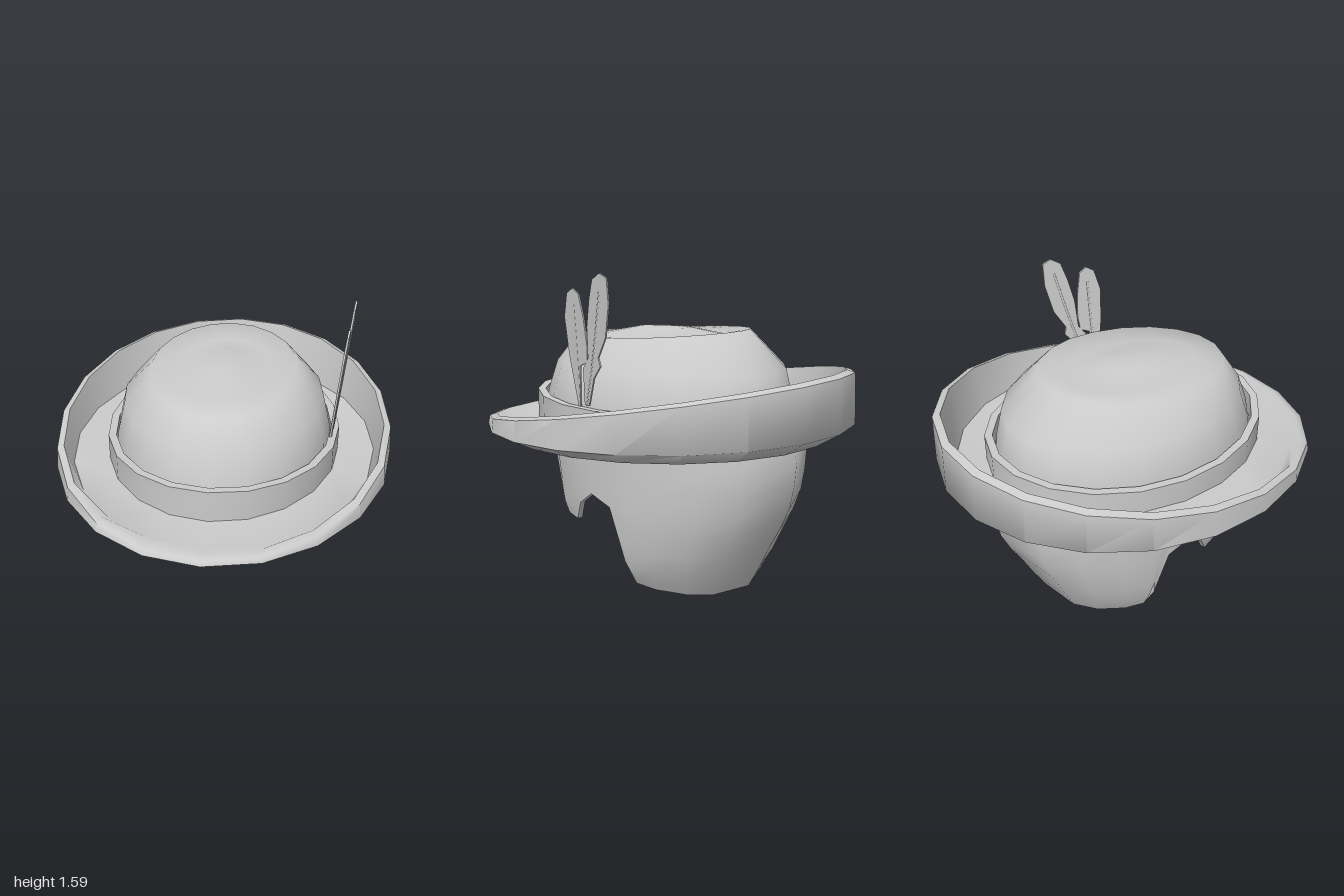
import * as THREE from 'three';
import { toCreasedNormals } from 'three/addons/utils/BufferGeometryUtils.js';

const material = new THREE.MeshStandardMaterial({ color: 0xcccccc, side: THREE.DoubleSide });
const SEGMENTS = 20;

// Skin a grid of columns (each an array of [x, y, z]) running around +y
function loft(columns, closed, crease = 1) {
  const rows = columns[0].length, n = columns.length, index = [];
  for (let i = 0; i < (closed ? n : n - 1); i++) {
    for (let j = 0; j < rows - 1; j++) {
      const a = i * rows + j, b = ((i + 1) % n) * rows + j;
      index.push(a, b, b + 1, a, b + 1, a + 1);
    }
  }
  const g = new THREE.BufferGeometry();
  g.setAttribute('position', new THREE.Float32BufferAttribute(columns.flat(2), 3));
  g.setIndex(index);
  return toCreasedNormals(g, crease);
}

// Closed oval part: profile(cos, sin) returns the column for one direction
function oval(profile, crease) {
  const columns = [];
  for (let i = 0; i < SEGMENTS; i++) {
    const a = (i / SEGMENTS) * Math.PI * 2;
    columns.push(profile(Math.cos(a), Math.sin(a)));
  }
  return loft(columns, true, crease);
}

function part(name, geometry) {
  const mesh = new THREE.Mesh(geometry, material);
  mesh.name = name;
  return mesh;
}

// Upturned brim, low in front and high at the back
function brim() {
  return oval((c, s) => {
    const at = (k, y) => [0.86 * s * k, y, (0.995 * c - 0.02 * s * s) * k];
    const rim = 0.962 - 0.165 * c;
    return [
      at(0.6, 0.78),
      at(0.88, 0.755 - 0.027 * c),
      at(1, 0.81 - 0.045 * c),
      at(0.99, rim - 0.012),
      at(0.95, rim),
      at(0.9, 0.82 - 0.03 * c),
      at(0.68, 0.82),
      at(0.6, 0.82),
    ];
  }, 1.1);
}

// Ribbon around the base of the crown
function band() {
  return oval((c, s) => {
    const top = 0.945 + 0.025 * c * c;
    const at = (d, y) => [(0.59 - d) * s, y, -0.015 + (0.735 - d) * c];
    return [at(0, 0.8), at(0, top), at(0.04, top), at(0.04, 0.85)];
  }, 0.9);
}

// Crown with a creased ridge and a low dome on top
function crown() {
  // half width, front depth, back depth, then height at front, side, back
  const rings = [
    [0.55, 0.67, 0.7, 0.85, 0.85, 0.85],
    [0.54, 0.655, 0.69, 0.96, 0.96, 0.96],
    [0.5, 0.6, 0.655, 1.11, 1.13, 1.11],
    [0.365, 0.52, 0.46, 1.235, 1.265, 1.3],
    [0.23, 0.37, 0.33, 1.25, 1.255, 1.265],
    [0.1, 0.16, 0.14, 1.29, 1.29, 1.295],
    [0, 0, 0, 1.3, 1.3, 1.3],
  ];
  return oval((c, s) => rings.map(([w, f, b, yf, ys, yb]) => [
    w * s,
    THREE.MathUtils.lerp(ys, c > 0 ? yf : yb, Math.abs(c)),
    c * (c > 0 ? f : b),
  ]), 1.1);
}

// Hair shell: [height, half width, half depth]
const HAIR = [
  [0, 0.4, 0.42], [0.06, 0.45, 0.46], [0.18, 0.52, 0.51], [0.42, 0.562, 0.64],
  [0.66, 0.572, 0.685], [0.82, 0.58, 0.64],
];
function hairSize(y) {
  let i = 0;
  while (i < HAIR.length - 2 && y > HAIR[i + 1][0]) i++;
  const [y0, w0, d0] = HAIR[i], [y1, w1, d1] = HAIR[i + 1];
  const t = (y - y0) / (y1 - y0);
  return [w0 + (w1 - w0) * t, d0 + (d1 - d0) * t];
}

function hair() {
  // Lower edge [z, y]: sideburn, ear arch, then around to the nape
  const edge = [
    [0.46, 0.74], [0.37, 0.67], [0.28, 0.36], [0.18, 0.36], [0.13, 0.46], [0.04, 0.525],
    [-0.08, 0.48], [-0.14, 0.21], [-0.16, 0.08], [-0.25, 0.055], [-0.37, 0.03], [-0.46, 0.015],
  ];
  const half = edge.map(([z, y]) => [Math.acos((z + 0.1) / hairSize(y)[1]), y]);
  const all = [...half, [Math.PI, 0.005],
    ...half.slice().reverse().map(([a, y]) => [2 * Math.PI - a, y])];
  const steps = 7;
  const columns = all.map(([a, low]) => {
    const s = Math.sin(a), c = Math.cos(a);
    const sx = c > 0 ? Math.sign(s) * Math.abs(s) ** 0.8 : s;
    const at = (t, inset) => {
      const y = low + (0.8 - low) * t, [w, d] = hairSize(y);
      return [(w - inset) * sx, y, -0.1 + (d - inset) * c];
    };
    const inner = [], outer = [];
    for (let j = 0; j <= steps; j++) {
      inner.unshift(at(j / steps, 0.025));
      outer.push(at(j / steps, 0));
    }
    return [...inner, ...outer];
  });
  return loft(columns, false, 0.9);
}

// Feathers lean outward as they rise; outlines are [z, y]
const lean = (y, z) => 0.548 + 0.1 * (y - 0.96) - 0.12 * (z - 0.06);

function feather(name, outline, quill) {
  const group = new THREE.Group();
  group.name = name;
  const shape = new THREE.Shape(outline.map(([z, y]) => new THREE.Vector2(-z, y)));
  const vane = new THREE.ExtrudeGeometry(shape, { depth: 0.01, bevelEnabled: false });
  vane.rotateY(Math.PI / 2);
  const p = vane.attributes.position;
  for (let i = 0; i < p.count; i++) p.setX(i, p.getX(i) + lean(p.getY(i), p.getZ(i)));
  vane.computeVertexNormals();
  const path = new THREE.CatmullRomCurve3(
    quill.map(([z, y]) => new THREE.Vector3(lean(y, z) + 0.005, y, z)));
  group.add(part('vane', vane), part('quill', new THREE.TubeGeometry(path, 6, 0.008, 5)));
  return group;
}

export function createModel() {
  const model = new THREE.Group();
  model.name = 'featheredHat';
  model.add(
    part('brim', brim()),
    part('band', band()),
    part('crown', crown()),
    part('hair', hair()),
    feather('frontFeather', [
      [0.115, 0.95], [0.15, 1.2], [0.16, 1.38], [0.13, 1.49], [0.09, 1.515], [0.05, 1.49],
      [0.03, 1.38], [0.02, 1.25], [0.03, 1.17], [0.08, 1.15], [0.1, 0.95],
    ], [[0.107, 0.95], [0.095, 1.2], [0.09, 1.44]]),
    feather('backFeather', [
      [0.07, 0.96], [0.06, 1.14], [0.02, 1.19], [0.01, 1.34], [-0.02, 1.47], [-0.05, 1.56],
      [-0.1, 1.59], [-0.145, 1.57], [-0.145, 1.45], [-0.11, 1.3], [-0.05, 1.2], [-0.06, 1.16],
      [-0.01, 1.1], [0.04, 0.96],
    ], [[0.055, 0.96], [-0.02, 1.22], [-0.09, 1.51]]),
  );
  return model;
}
